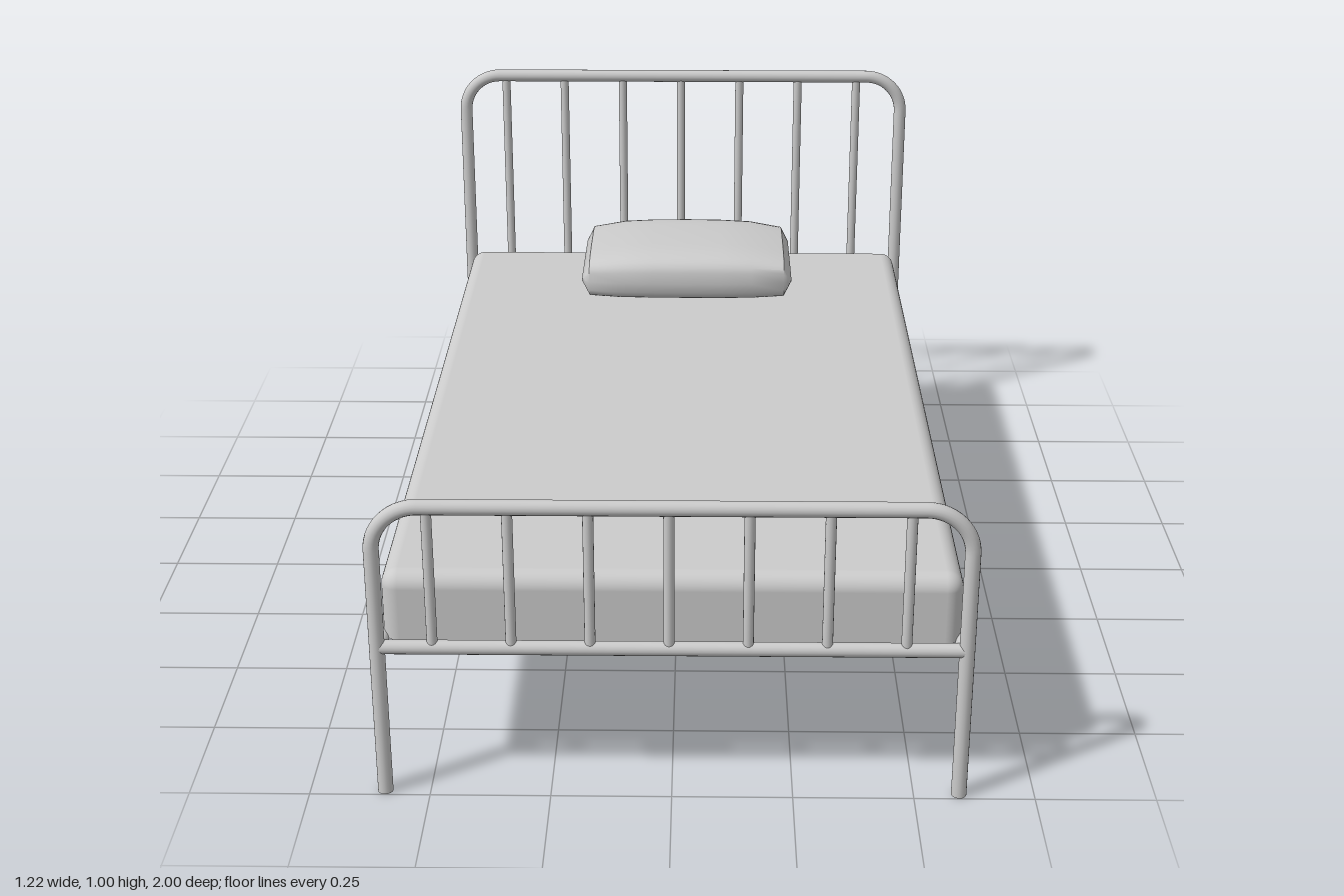
import * as THREE from 'three';
import { toCreasedNormals } from 'three/addons/utils/BufferGeometryUtils.js';
import { RoundedBoxGeometry } from 'three/addons/geometries/RoundedBoxGeometry.js';

const material = new THREE.MeshStandardMaterial({ color: 0xcccccc });

function addMesh(parent, name, geometry) {
  const mesh = new THREE.Mesh(geometry, material);
  mesh.name = name;
  parent.add(mesh);
  return mesh;
}

// Straight round bar between two points
function addRod(parent, name, from, to, radius) {
  const a = new THREE.Vector3(...from), b = new THREE.Vector3(...to);
  const dir = b.clone().sub(a);
  const mesh = addMesh(parent, name, new THREE.CylinderGeometry(radius, radius, dir.length(), 16));
  mesh.position.copy(a).add(b).multiplyScalar(0.5);
  mesh.quaternion.setFromUnitVectors(new THREE.Vector3(0, 1, 0), dir.normalize());
}

// Bent tube hoop with a lower rail and vertical spindles
function createEnd(name, height) {
  const end = new THREE.Group();
  end.name = name;
  const x = 0.594, r = 0.016, bend = 0.095, railY = 0.342;
  const top = height - r;
  for (const side of [-1, 1]) {
    addRod(end, 'post', [side * x, 0, 0], [side * x, top - bend, 0], r);
    const corner = addMesh(end, 'bentCorner', new THREE.TorusGeometry(bend, r, 16, 14, Math.PI / 2));
    corner.position.set(side * (x - bend), top - bend, 0);
    if (side < 0) corner.rotation.z = Math.PI / 2;
  }
  addRod(end, 'topBar', [bend - x, top, 0], [x - bend, top, 0], r);
  addRod(end, 'lowerRail', [-x, railY, 0], [x, railY, 0], 0.015);
  for (let i = -3; i <= 3; i++) {
    const sx = i * 0.159 - 0.005;
    addRod(end, 'spindle', [sx, railY, 0], [sx, top, 0], 0.011);
  }
  return end;
}

// Block with soft upper edges and a flat underside
function createMattressGeometry() {
  const bottom = 0.345, top = 0.495, height = 0.3;
  const geometry = new RoundedBoxGeometry(1.172, height, 1.91, 5, 0.035);
  geometry.translate(0, top - height / 2, 0.007);
  const p = geometry.attributes.position;
  for (let i = 0; i < p.count; i++) p.setY(i, Math.max(p.getY(i), bottom));
  return geometry;
}

// Squarish cross-sections lofted along x, pinched to a ridge at each end
function createPillowGeometry() {
  // x, half depth, height above seam, depth below seam
  const half = [
    [0, 0.188, 0.074, 0.06],
    [0.09, 0.187, 0.073, 0.06],
    [0.17, 0.184, 0.069, 0.06],
    [0.255, 0.172, 0.054, 0.058],
    [0.265, 0.165, 0.03, 0.034],
    [0.275, 0.156, 0.004, 0.004],
  ];
  const sections = [...half.slice(1).reverse().map(([x, ...rest]) => [-x, ...rest]), ...half];
  const n = 32, positions = [], indices = [];
  const soften = (v) => Math.sign(v) * Math.pow(Math.abs(v), 0.55);
  for (const [x, depth, up, down] of sections) {
    for (let j = 0; j < n; j++) {
      const a = (j / n) * Math.PI * 2;
      const s = soften(Math.sin(a));
      positions.push(x, s * (s > 0 ? up : down), soften(Math.cos(a)) * depth);
    }
  }
  for (let i = 0; i < sections.length - 1; i++) {
    for (let j = 0; j < n; j++) {
      const k = (j + 1) % n;
      const a = i * n + j, b = a + n, c = i * n + k, d = c + n;
      indices.push(a, b, c, b, d, c);
    }
  }
  // End caps
  const last = (sections.length - 1) * n;
  for (let j = 1; j < n - 1; j++) {
    indices.push(0, j, j + 1);
    indices.push(last, last + j + 1, last + j);
  }
  const geometry = new THREE.BufferGeometry();
  geometry.setAttribute('position', new THREE.Float32BufferAttribute(positions, 3));
  geometry.setIndex(indices);
  return toCreasedNormals(geometry, 0.7);
}

export function createModel() {
  const bed = new THREE.Group();
  bed.name = 'bed';

  // Tubular ends
  const headboard = createEnd('headboard', 1.0);
  headboard.position.z = -0.983;
  const footboard = createEnd('footboard', 0.673);
  footboard.position.z = 0.983;
  bed.add(headboard, footboard);

  // Long side rails
  for (const side of [-1, 1]) {
    addRod(bed, 'sideRail', [side * 0.586, 0.345, -0.983], [side * 0.586, 0.345, 0.983], 0.013);
  }

  // Bedding
  addMesh(bed, 'mattress', createMattressGeometry());
  addMesh(bed, 'pillow', createPillowGeometry()).position.set(0.015, 0.551, -0.712);
  return bed;
}
